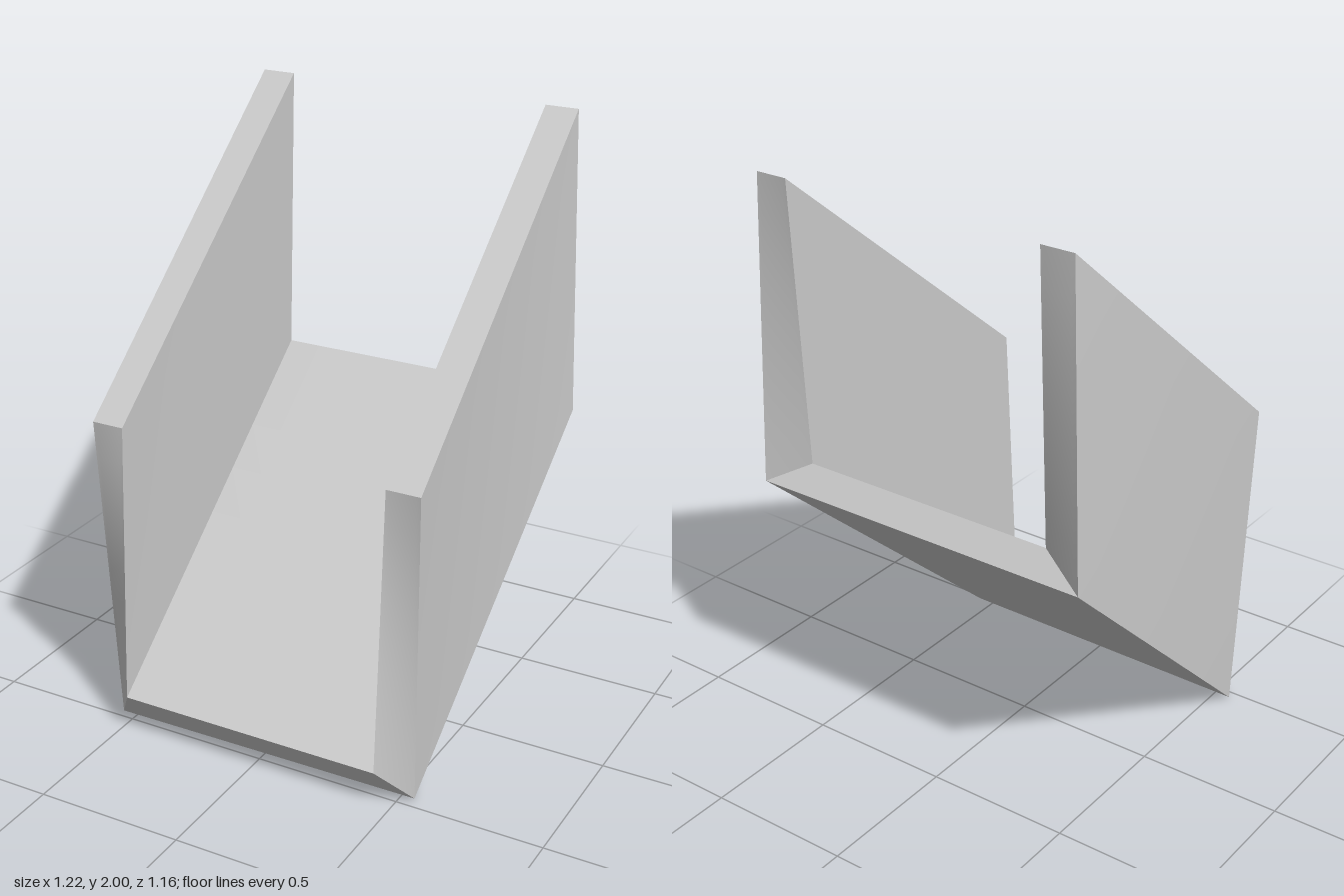
import * as THREE from 'three';
import { mergeGeometries } from 'three/addons/utils/BufferGeometryUtils.js';

// Channel cross-sections, counterclockwise from the front:
// outer bottom -x, outer bottom +x, +x wall top (outer, inner),
// floor +x, floor -x, -x wall top (inner, outer)
const section = (pts) => pts.map((p) => new THREE.Vector3(...p));
const front = section([
  [-0.555, 0, 0.47], [0.55, 0.01, 0.47], [0.585, 1.1, 0.54], [0.47, 1.1, 0.54],
  [0.46, 0.14, 0.58], [-0.46, 0.14, 0.58], [-0.455, 1.1, 0.54], [-0.565, 1.1, 0.54],
]);
const back = section([
  [-0.61, 0.96, -0.58], [0.61, 0.96, -0.58], [0.585, 2, -0.55], [0.472, 2, -0.55],
  [0.462, 1.04, -0.515], [-0.45, 1.04, -0.515], [-0.45, 2, -0.55], [-0.565, 2, -0.55],
]);

// Slightly twisted four-cornered surface; corners run counterclockwise
function patch(a, b, c, d, n = 8) {
  const g = new THREE.PlaneGeometry(1, 1, n, n);
  const pos = g.attributes.position;
  for (let i = 0; i < pos.count; i++) {
    const u = pos.getX(i) + 0.5, v = pos.getY(i) + 0.5;
    const low = a.clone().lerp(b, u), high = d.clone().lerp(c, u);
    low.lerp(high, v);
    pos.setXYZ(i, low.x, low.y, low.z);
  }
  g.computeVertexNormals();
  return g;
}

// One slab of the channel: its long faces plus both end faces
function slab(name, edges, cap) {
  const faces = edges.map(([i, j]) => patch(front[i], back[i], back[j], front[j]));
  faces.push(patch(...cap.map((i) => front[i])));
  faces.push(patch(...[...cap].reverse().map((i) => back[i])));
  const mesh = new THREE.Mesh(
    mergeGeometries(faces),
    new THREE.MeshStandardMaterial({ color: 0xcccccc }),
  );
  mesh.name = name;
  return mesh;
}

export function createModel() {
  const group = new THREE.Group();
  group.name = 'slopedChannel';
  group.add(
    slab('floor', [[0, 1], [4, 5]], [0, 1, 4, 5]),
    slab('leftWall', [[1, 2], [2, 3], [3, 4]], [1, 2, 3, 4]),
    slab('rightWall', [[5, 6], [6, 7], [7, 0]], [0, 5, 6, 7]),
  );
  return group;
}
